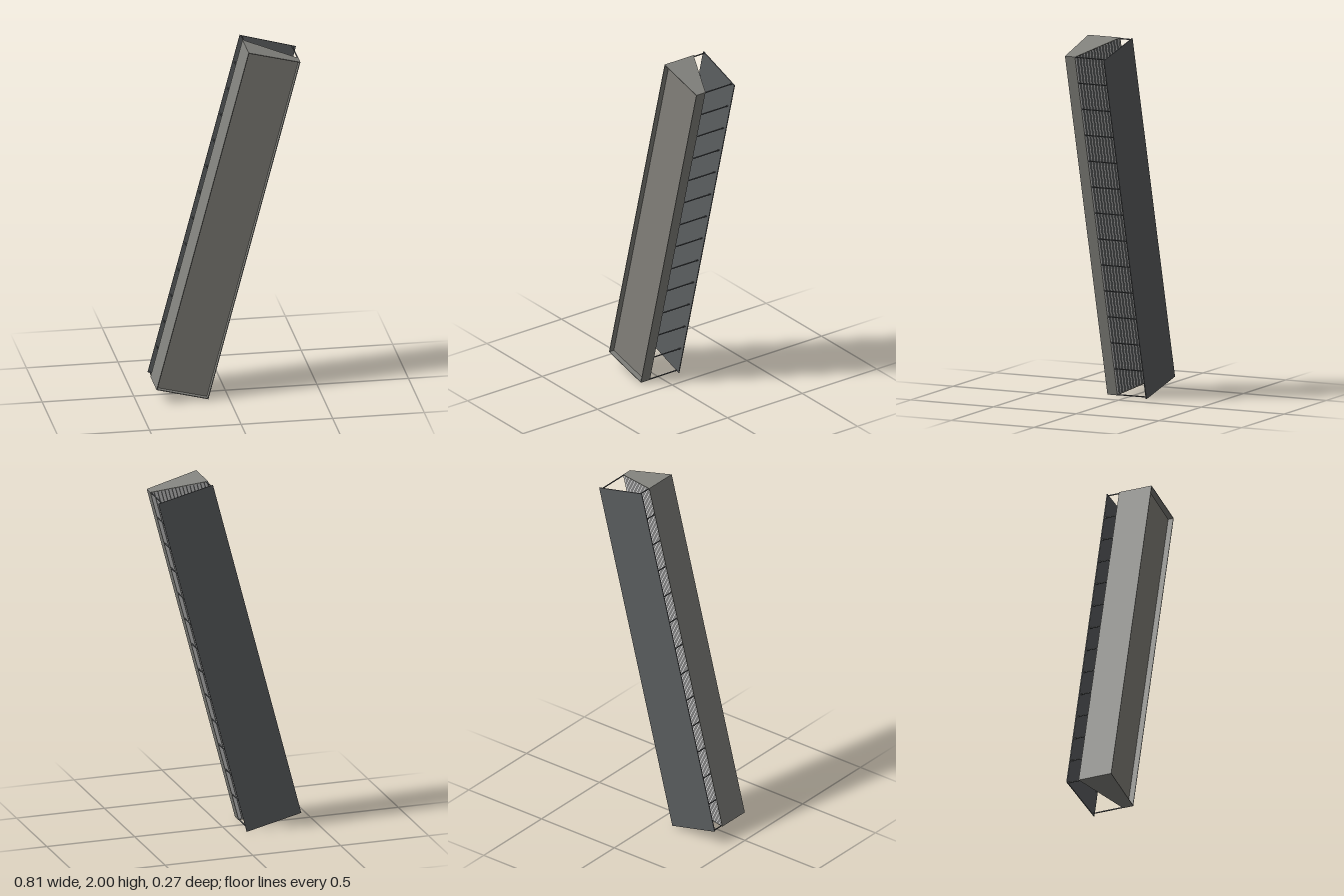
import * as THREE from 'three';

export function createModel() {
  const paint = color => new THREE.MeshStandardMaterial({ color, flatShading: true, side: THREE.DoubleSide });
  const casing = paint(0x82827d), frontFace = paint(0x82807a), dark = paint(0x5b5e60), pale = paint(0xcccccc);
  const model = new THREE.Group();
  model.name = 'leaningPanel';
  const H = 1.985; // length along the leaning axis
  const L = -0.151, R = 0.142; // body side edges

  const add = (name, material, geometry, x = 0, y = 0, z = 0) => {
    const mesh = new THREE.Mesh(geometry, material);
    mesh.name = name;
    mesh.position.set(x, y, z);
    model.add(mesh);
    return mesh;
  };
  const box = (name, material, w, h, d, x, y, z) => add(name, material, new THREE.BoxGeometry(w, h, d), x, y, z);

  // Wedge-shaped casing: side walls, end caps and recessed front panel
  const t = 0.004;
  box('deepSideWall', casing, t, H, 0.194, L + t / 2, 0, 0.032);
  box('shallowSideWall', casing, t, H, 0.06, R - t / 2, 0, 0.095);
  const profile = new THREE.Shape([[L, -0.065], [R, 0.065], [R, 0.125], [L, 0.129]].map(p => new THREE.Vector2(...p)));
  for (const [name, top] of [['topCap', H / 2], ['bottomCap', -H / 2 + t]]) {
    const cap = new THREE.ExtrudeGeometry(profile, { depth: t, bevelEnabled: false });
    cap.rotateX(Math.PI / 2);
    add(name, casing, cap, 0, top, 0);
  }
  const front = box('frontPanel', frontFace, R - L - t, H - t, t, (L + R) / 2, 0, 0.095);
  front.rotation.y = 0.021;

  // Slanted back, stepped lengthwise: pale treads and dark risers
  const count = 16, w = (R - L - t) / count, h = 0.13 / count;
  for (let i = 0; i < count; i++) {
    const x = L + t / 2 + i * w, z = -0.065 + (i + 1) * h;
    add('tread', pale, new THREE.PlaneGeometry(w, H - t), x + w / 2, 0, z).rotation.y = Math.PI;
    add('riser', dark, new THREE.PlaneGeometry(h, H - t), x + w, 0, z + h / 2).rotation.y = Math.PI / 2;
  }

  // Rear plate, turned slightly
  const plate = box('rearPlate', dark, 0.315, H, 0.005, 0.0025, 0, -0.126);
  plate.rotation.y = -0.054;

  // Struts joining the body edges to the rear plate
  const strut = (name, x, y, z0, z1) => box(name, dark, 0.005, 0.005, z0 - z1, x, y, (z0 + z1) / 2);
  for (let i = 0; i < 14; i++) {
    const y = (i / 13 - 0.5) * (H - 0.006);
    strut('shortStrut', L + 0.008, y, -0.06, -0.133);
    strut('longStrut', R - 0.003, y, 0.067, -0.119);
  }

  // Lean the whole piece and stand it on the ground
  model.rotation.z = -0.256;
  model.position.y = 1;
  const root = new THREE.Group();
  root.name = 'model';
  root.add(model);
  return root;
}
